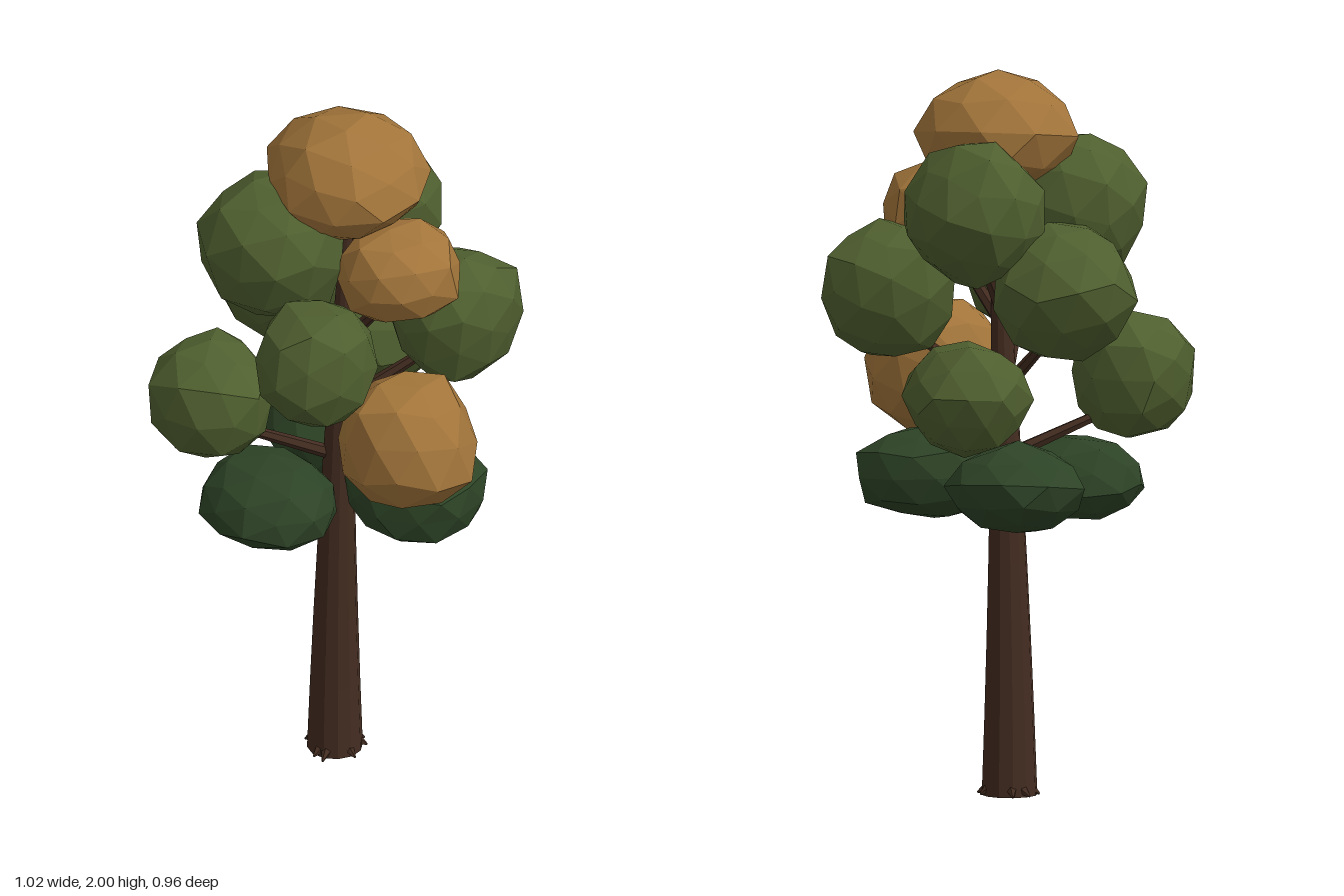
import * as THREE from 'three';

const material = (color) => new THREE.MeshStandardMaterial({ color, flatShading: true });
const bark = material(0x432c20);
const gold = material(0xa1743a);
const green = material(0x4f5f2f);
const darkGreen = material(0x2d4326);

const UP = new THREE.Vector3(0, 1, 0);
const TRUNK_TOP = 1.72;

// Centre line of the slightly leaning trunk
const trunkAt = (y) => new THREE.Vector3(-0.06 + 0.02 * y * y, y, -0.01);

// Foliage clumps: name, material, centre, half sizes, direction of the fuller side
const clumps = [
  ['crownClump', gold, [-0.035, 1.83, -0.03], [0.235, 0.17, 0.22], [-0.9, 0.3, -0.1]],
  ['upperLeftClump', gold, [0.17, 1.6, -0.065], [0.16, 0.14, 0.17], [0.6, 0, -0.7]],
  ['upperFrontClump', green, [-0.11, 1.625, 0.17], [0.21, 0.2, 0.195], [-0.3, 0, 0.2]],
  ['upperBackClump', green, [-0.15, 1.64, -0.2], [0.2, 0.2, 0.19], [0.3, 0, -0.4]],
  ['middleFrontClump', green, [0.18, 1.415, 0.225], [0.16, 0.175, 0.175], [0.5, 0, 0.3]],
  ['middleBackClump', green, [0.145, 1.4, -0.27], [0.17, 0.19, 0.185], [-0.7, 0, 0.4]],
  ['middleRightClump', green, [-0.31, 1.42, -0.01], [0.2, 0.19, 0.2], [-0.5, 0, -0.5]],
  ['lowerLeftClump', gold, [0.31, 1.15, 0.005], [0.2, 0.18, 0.185], [0.9, -0.3, 0]],
  ['lowerFrontClump', green, [-0.2, 1.155, 0.31], [0.175, 0.175, 0.17], [0.6, 0, 0.7]],
  ['lowerBackClump', green, [-0.25, 1.145, -0.305], [0.195, 0.16, 0.175], [0.7, 0, 0.6]],
  ['skirtFrontClump', darkGreen, [-0.07, 0.86, 0.205], [0.205, 0.115, 0.185], [0.6, 0, 0.3]],
  ['skirtLeftClump', darkGreen, [0.14, 0.88, -0.14], [0.2, 0.125, 0.19], [0.3, 0, -0.4]],
  ['skirtRightClump', darkGreen, [-0.26, 0.88, -0.14], [0.2, 0.125, 0.185], [-0.5, 0, -0.4]],
];

// Faceted ball with uneven vertices and one fuller side, fitted to its half sizes
function clumpGeometry(half, bulge, seed) {
  const geo = new THREE.IcosahedronGeometry(1, 1);
  geo.rotateY(seed * 1.3).rotateX(seed * 0.7);
  const pos = geo.attributes.position;
  const v = new THREE.Vector3();
  const side = new THREE.Vector3(...bulge);
  for (let i = 0; i < pos.count; i++) {
    v.fromBufferAttribute(pos, i);
    const wobble = Math.sin(v.x * 5 + seed) + Math.sin(v.y * 6 + seed * 2) + Math.sin(v.z * 5 - seed);
    v.multiplyScalar(1 + 0.035 * wobble + 0.18 * Math.max(0, v.dot(side)) ** 2);
    pos.setXYZ(i, v.x, v.y, v.z);
  }
  geo.center();
  geo.computeBoundingBox();
  const { max } = geo.boundingBox;
  geo.scale(half[0] / max.x, half[1] / max.y, half[2] / max.z);
  geo.computeVertexNormals();
  return geo;
}

// Tapered limb between two points
function limb(name, from, to, r0, r1, sides = 6) {
  const dir = to.clone().sub(from);
  const mesh = new THREE.Mesh(new THREE.CylinderGeometry(r1, r0, dir.length(), sides), bark);
  mesh.position.copy(from).addScaledVector(dir, 0.5);
  mesh.quaternion.setFromUnitVectors(UP, dir.normalize());
  mesh.name = name;
  return mesh;
}

// How far below its clump a branch leaves the trunk
function branchDrop(y) {
  if (y < 1) return 0.04;
  return y < 1.3 ? 0.22 : 0.3;
}

export function createModel() {
  const tree = new THREE.Group();
  tree.name = 'tree';

  // Trunk
  const trunkGeo = new THREE.CylinderGeometry(0.015, 0.077, TRUNK_TOP, 12, 8);
  trunkGeo.translate(0, TRUNK_TOP / 2, 0);
  const pos = trunkGeo.attributes.position;
  for (let i = 0; i < pos.count; i++) {
    const c = trunkAt(pos.getY(i));
    pos.setXYZ(i, pos.getX(i) + c.x, pos.getY(i), pos.getZ(i) + c.z);
  }
  trunkGeo.computeVertexNormals();
  const trunk = new THREE.Mesh(trunkGeo, bark);
  trunk.name = 'trunk';
  tree.add(trunk);

  // Small root spurs around the base
  const roots = new THREE.Group();
  roots.name = 'roots';
  for (let i = 0; i < 8; i++) {
    const a = (i / 8) * Math.PI * 2 + 0.25 * Math.sin(i * 2.3);
    const reach = 0.094 + 0.009 * Math.sin(i * 1.7);
    const from = trunkAt(0).add(new THREE.Vector3(Math.cos(a) * 0.06, 0.022, Math.sin(a) * 0.06));
    const to = trunkAt(0).add(new THREE.Vector3(Math.cos(a) * reach, 0.005, Math.sin(a) * reach));
    roots.add(limb('root', from, to, 0.017, 0.003, 5));
  }
  tree.add(roots);

  // Foliage, each clump carried by a branch
  const foliage = new THREE.Group();
  const branches = new THREE.Group();
  foliage.name = 'foliage';
  branches.name = 'branches';
  clumps.forEach(([name, mat, centre, half, bulge], i) => {
    const clump = new THREE.Mesh(clumpGeometry(half, bulge, i + 1), mat);
    clump.position.set(...centre);
    clump.name = name;
    foliage.add(clump);
    if (i === 0) return;
    const tip = clump.position.clone();
    tip.y -= half[1] * 0.4;
    branches.add(limb('branch', trunkAt(centre[1] - branchDrop(centre[1])), tip, 0.02, 0.012));
  });
  tree.add(branches, foliage);
  return tree;
}
